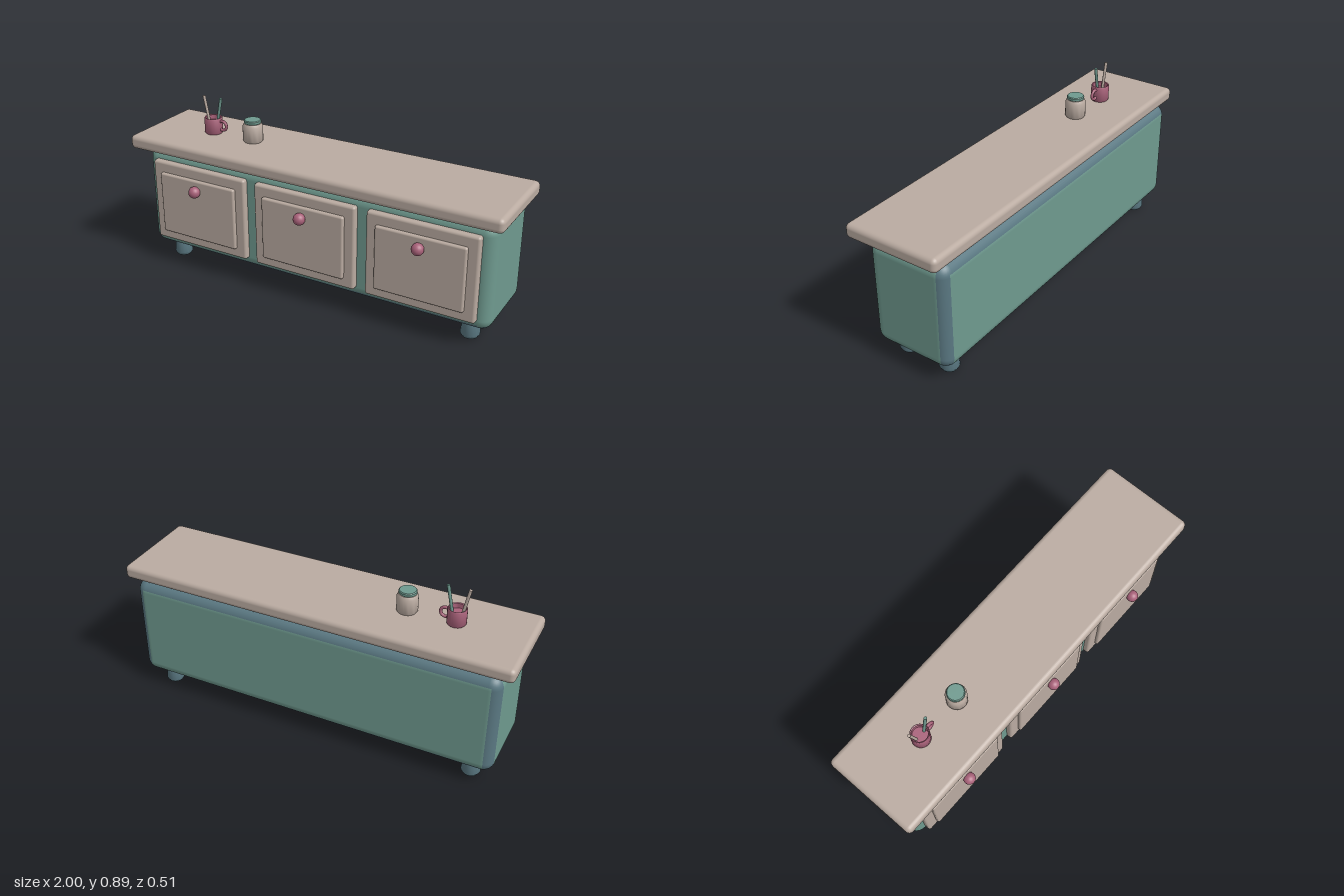
import * as THREE from 'three';
import { RoundedBoxGeometry } from 'three/addons/geometries/RoundedBoxGeometry.js';
import { toCreasedNormals } from 'three/addons/utils/BufferGeometryUtils.js';

function material(name, color) {
  const m = new THREE.MeshStandardMaterial({ color });
  m.name = name;
  return m;
}

export function createModel() {
  const root = new THREE.Group();
  root.name = 'sideboard';
  const teal = material('teal', 0x6f9a8f);
  const slate = material('slate blue', 0x5a7882);
  const beige = material('warm beige', 0xbaaba1);
  const rose = material('dusty rose', 0xa9627a);

  function add(parent, name, geometry, mat, x = 0, y = 0, z = 0) {
    const mesh = new THREE.Mesh(geometry, mat);
    mesh.name = name;
    mesh.position.set(x, y, z);
    parent.add(mesh);
    return mesh;
  }
  const box = (w, h, d, r, s = 3) => new RoundedBoxGeometry(w, h, d, s, r);
  const lathe = (points, sides = 24) => toCreasedNormals(
    new THREE.LatheGeometry(points.map(([r, y]) => new THREE.Vector2(r, y)), sides), 0.7);

  // Cabinet body: teal faces, slate underside, top and rear rounded edges
  const bodyGeo = box(1.9, 0.54, 0.42, 0.058, 4);
  const normal = bodyGeo.attributes.normal;
  const n = new THREE.Vector3(), v = new THREE.Vector3();
  bodyGeo.clearGroups();
  for (let i = 0; i < normal.count; i += 3) {
    n.set(0, 0, 0);
    for (let k = 0; k < 3; k++) n.add(v.fromBufferAttribute(normal, i + k));
    n.normalize();
    const upperEdge = n.y > (n.z < -0.2 ? 0.25 : 0.6);
    const lowerEdge = n.y < -0.55;
    const rearCorner = n.z < -0.25 && Math.abs(n.x) > 0.2;
    bodyGeo.addGroup(i, 3, upperEdge || lowerEdge || rearCorner ? 1 : 0);
  }
  add(root, 'cabinetBody', bodyGeo, [teal, slate], 0, 0.355, -0.045);

  // Worktop
  add(root, 'worktop', box(2, 0.072, 0.49, 0.024), beige, 0, 0.665, -0.01);

  // Three doors, each with a raised panel and a round knob
  for (const x of [-0.613, 0, 0.613]) {
    const door = new THREE.Group();
    door.name = 'door';
    door.position.x = x;
    root.add(door);
    add(door, 'doorFrame', box(0.555, 0.435, 0.05, 0.013), beige, 0, 0.357, 0.17);
    add(door, 'doorPanel', box(0.45, 0.328, 0.04, 0.01), beige, 0, 0.355, 0.193);
    add(door, 'doorKnob', new THREE.SphereGeometry(0.03, 20, 14), rose, 0, 0.465, 0.229);
  }

  // Four tapered feet
  const footGeo = lathe([[0, 0], [0.038, 0], [0.048, 0.016], [0.04, 0.09], [0, 0.1]], 16);
  for (const x of [-0.83, 0.83]) {
    for (const z of [0.07, -0.16]) add(root, 'foot', footGeo, slate, x, 0, z);
  }

  // Mug with handle and two sticks
  const mug = new THREE.Group();
  mug.name = 'mug';
  mug.position.set(-0.65, 0.7, -0.012);
  root.add(mug);
  add(mug, 'mugCup', lathe([[0, 0], [0.04, 0], [0.046, 0.008], [0.046, 0.08],
    [0.043, 0.086], [0.038, 0.083], [0.037, 0.06], [0, 0.06]]), rose);
  add(mug, 'mugHandle', new THREE.TorusGeometry(0.024, 0.008, 8, 20), rose, 0.055, 0.047, 0);
  for (const [side, mat] of [[-1, beige], [1, teal]]) {
    const stick = add(mug, 'stick', new THREE.CylinderGeometry(0.008, 0.007, 0.16, 10), mat,
      side * 0.036, 0.112, 0);
    stick.rotation.z = -side * 0.2;
  }

  // Lidded jar
  const jar = new THREE.Group();
  jar.name = 'jar';
  jar.position.set(-0.41, 0.7, -0.012);
  root.add(jar);
  add(jar, 'jarBody', lathe([[0, 0], [0.045, 0], [0.051, 0.01], [0.051, 0.083],
    [0.043, 0.097], [0, 0.097]]), beige);
  add(jar, 'jarLid', lathe([[0, 0.096], [0.039, 0.096], [0.043, 0.1], [0.043, 0.111],
    [0.039, 0.115], [0, 0.115]]), teal);

  return root;
}
